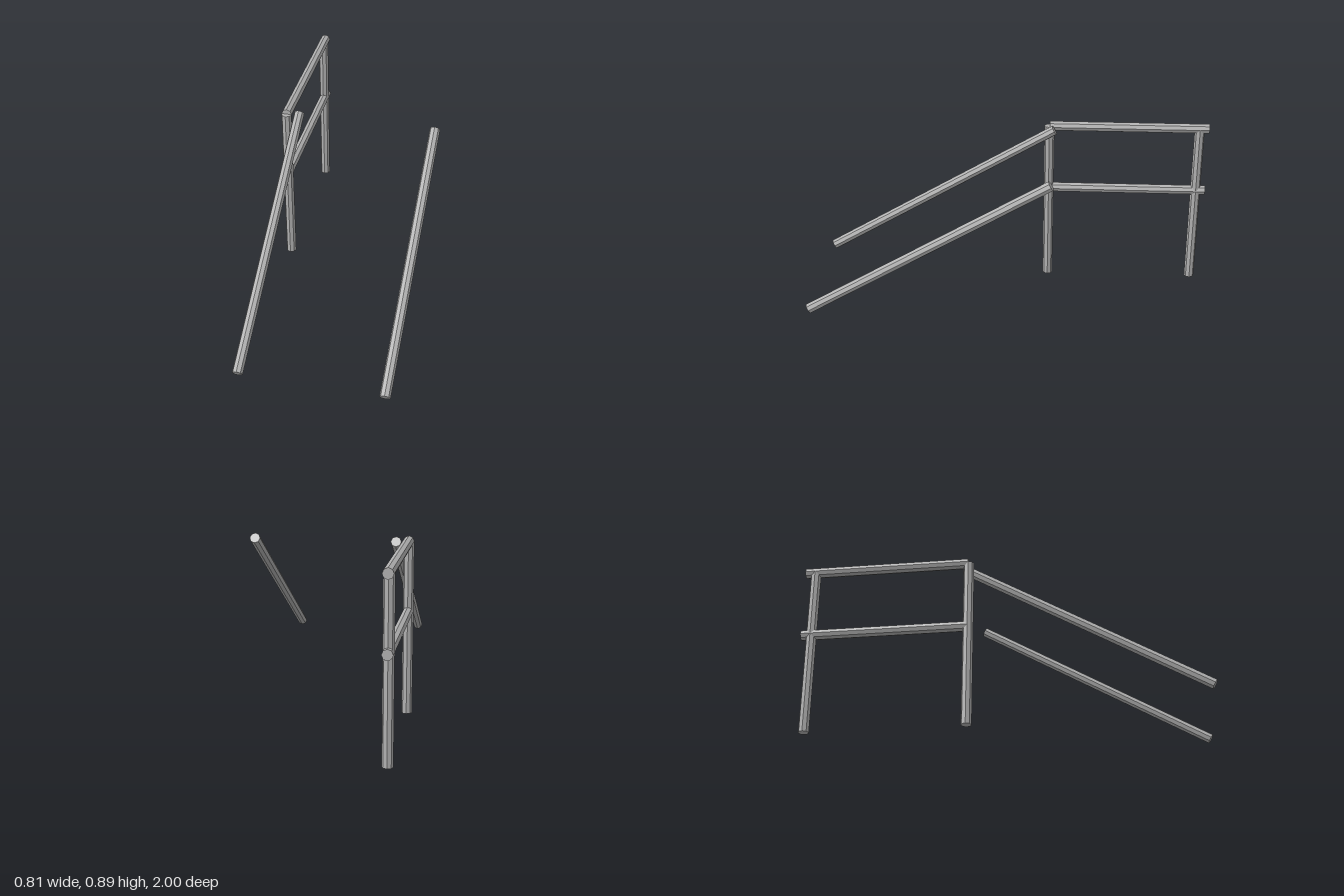
import * as THREE from 'three';

const R = 0.026;

export function createModel() {
  const model = new THREE.Group();
  model.name = 'handrails';
  const steel = new THREE.MeshStandardMaterial({ color: 0xb0b0b0, flatShading: true });
  steel.name = 'grey steel';

  // Eight-sided bar running between two points in the plane at x
  function bar(name, x, [y0, z0], [y1, z1]) {
    const dy = y1 - y0, dz = z1 - z0;
    const mesh = new THREE.Mesh(new THREE.CylinderGeometry(R, R, Math.hypot(dy, dz), 8), steel);
    mesh.position.set(x, (y0 + y1) / 2, (z0 + z1) / 2);
    mesh.rotation.x = Math.atan2(dz, dy);
    mesh.name = name;
    model.add(mesh);
  }

  // Landing guard: two posts and two level rails
  const guardX = -0.377;
  bar('frontPost', guardX, [0, -0.173], [0.863, -0.173]);
  bar('backPost', guardX, [0, -0.951], [0.863, -0.951]);
  bar('topRail', guardX, [0.863, -1], [0.863, -0.175]);
  bar('middleRail', guardX, [0.515, -1], [0.515, -0.175]);

  // Sloping stair handrails
  bar('rightHandrail', -0.317, [0.169, 0.987], [0.862, -0.2]);
  bar('leftHandrail', 0.377, [0.169, 0.987], [0.862, -0.2]);

  return model;
}
